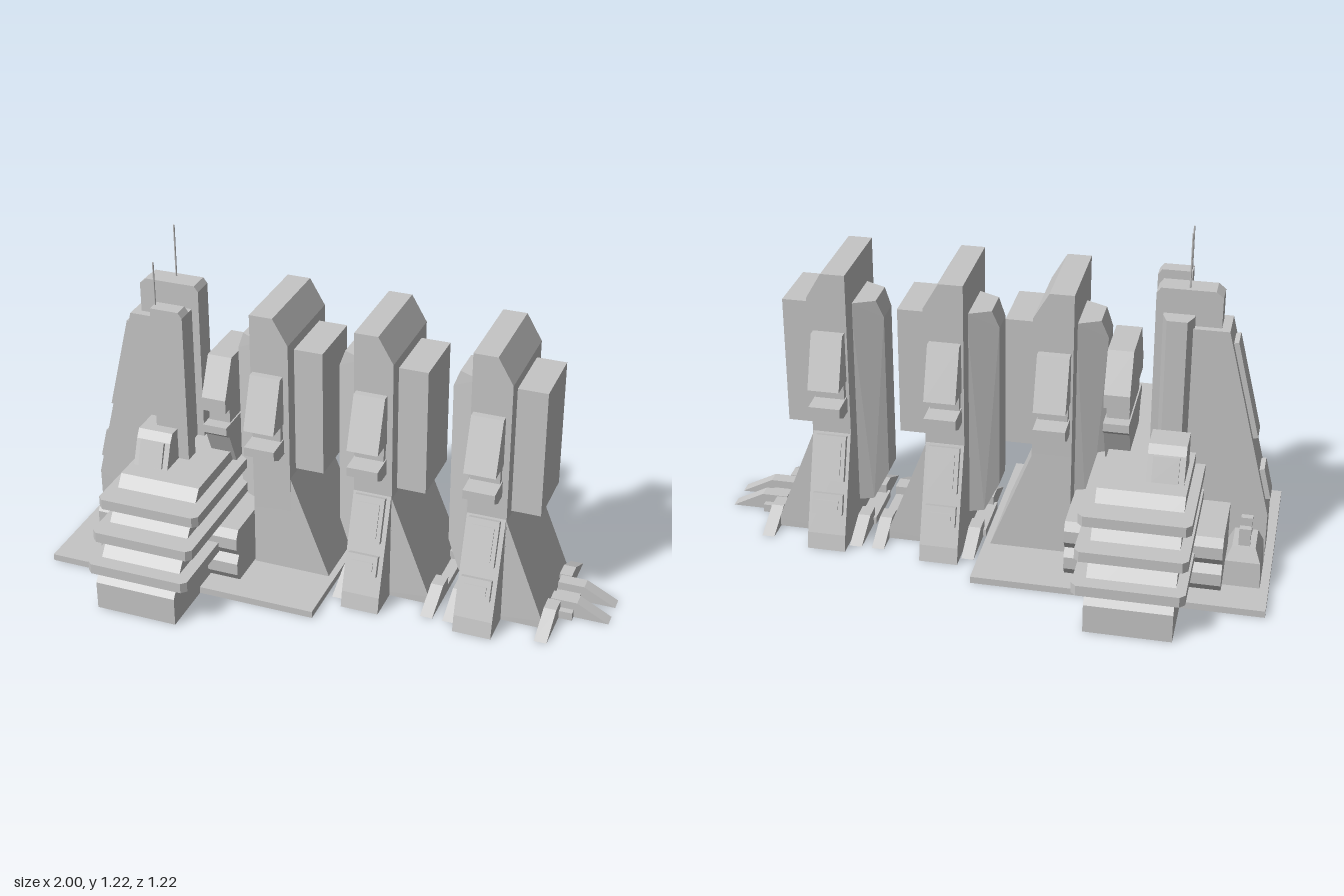
import * as THREE from 'three';
import { ConvexGeometry } from 'three/addons/geometries/ConvexGeometry.js';

const grey = new THREE.MeshStandardMaterial({ color: 0xc6c6c6 });
grey.name = 'concrete grey';

export function createModel() {
  const model = new THREE.Group();
  model.name = 'towerComplex';

  const add = (parent, name, geometry) => {
    const mesh = new THREE.Mesh(geometry, grey);
    mesh.name = name;
    parent.add(mesh);
    return mesh;
  };
  // Box from its limits on each axis
  const box = (parent, name, x0, x1, y0, y1, z0, z1) =>
    add(parent, name, new THREE.BoxGeometry(x1 - x0, y1 - y0, z1 - z0)
      .translate((x0 + x1) / 2, (y0 + y1) / 2, (z0 + z1) / 2));
  const shape = (pts) => new THREE.Shape(pts.map(([a, b]) => new THREE.Vector2(a, b)));
  const extrude = (pts, depth) =>
    new THREE.ExtrudeGeometry(shape(pts), { depth, bevelEnabled: false });
  // Side profile (x, y) extruded along z
  const alongZ = (parent, name, pts, z0, z1) =>
    add(parent, name, extrude(pts, z1 - z0).translate(0, 0, z0));
  // Cross profile (z, y) extruded along x
  const alongX = (parent, name, pts, x0, x1) =>
    add(parent, name, extrude(pts.map(([z, y]) => [-z, y]), x1 - x0)
      .rotateY(Math.PI / 2).translate(x0, 0, 0));
  const mirrored = (half) => [...half, ...half.map(([z, y]) => [-z, y]).reverse()];
  const flip = (pts, s) => pts.map(([z, y]) => [z * s, y]);
  const hull = (parent, name, pts) =>
    add(parent, name, new ConvexGeometry(pts.map((p) => new THREE.Vector3(...p))));

  // Ground slab
  box(model, 'groundSlab', -1, 0.02, 0, 0.025, -0.405, 0.405);

  // Terraced hall
  const hall = new THREE.Group();
  hall.name = 'terracedHall';
  model.add(hall);
  alongX(hall, 'hallBody', mirrored([[0.61, 0], [0.61, 0.105], [0.375, 0.42]]), -0.71, -0.41);
  for (const [y, z] of [[0.14, 0.61], [0.24, 0.56], [0.34, 0.5]]) {
    const c = 0.018, x0 = -0.745, x1 = -0.365;
    const outline = [[x0 + c, -z], [x1 - c, -z], [x1, -z + c], [x1, z - c],
      [x1 - c, z], [x0 + c, z], [x0, z - c], [x0, -z + c]];
    add(hall, 'terrace', extrude(outline, 0.038).rotateX(-Math.PI / 2).translate(0, y, 0));
  }
  // Roof cabins at both ends of the hall
  for (const s of [1, -1]) {
    alongX(hall, 'roofCabin', flip([[0.15, 0.42], [0.305, 0.42], [0.27, 0.51], [0.25, 0.54], [0.15, 0.54]], s), -0.695, -0.565);
    alongX(hall, 'cabinWindow', flip([[0.3, 0.425], [0.312, 0.425], [0.283, 0.51], [0.268, 0.51]], s), -0.675, -0.585);
  }
  // Two stacked octagonal galleries crossing the hall
  for (const y of [0.025, 0.13]) {
    alongX(model, 'gallery', mirrored([[0.29, y], [0.31, y], [0.33, y + 0.03], [0.33, y + 0.075], [0.31, y + 0.105]]),
      -0.84, -0.295);
  }

  // Leaning spire
  const spire = new THREE.Group();
  spire.name = 'spire';
  model.add(spire);
  alongZ(spire, 'spireButtress',
    [[-0.97, 0], [-0.97, 0.2], [-0.8, 0.89], [-0.6, 0.89], [-0.6, 0]], -0.07, 0.065);
  for (const [x0, y0, x1, y1] of [[-0.963, 0.25, -0.935, 0.365], [-0.905, 0.485, -0.818, 0.84]]) {
    alongZ(spire, 'buttressPanel',
      [[x0, y0], [x0 - 0.012, y0 + 0.003], [x1 - 0.012, y1 + 0.003], [x1, y1]].map(([x, y]) => [x, y])
        .concat([[x1 + 0.02, y1 - 0.01], [x0 + 0.02, y0 - 0.005]]), -0.045, 0.04);
  }
  alongZ(spire, 'spireCrown',
    [[-0.77, 0.4], [-0.77, 1], [-0.745, 1.02], [-0.56, 1.02], [-0.545, 1], [-0.545, 0.4]], -0.045, 0.035);
  const column = [[-0.66, -0.11], [-0.59, -0.11], [-0.572, -0.06], [-0.572, 0.06],
    [-0.59, 0.11], [-0.66, 0.11], [-0.68, 0.06], [-0.68, -0.06]];
  add(spire, 'spireColumn', extrude(column, 0.53).rotateX(-Math.PI / 2).translate(0, 0.4, 0));
  alongZ(spire, 'frontPillar',
    [[-0.645, 0.42], [-0.645, 1], [-0.54, 1], [-0.525, 0.98], [-0.525, 0.42]], 0.155, 0.21);
  for (const [x, z, y0, y1] of [[-0.64, 0.177, 0.99, 1.16], [-0.655, -0.025, 1.01, 1.215]]) {
    add(spire, 'antenna', new THREE.CylinderGeometry(0.003, 0.003, y1 - y0, 6)
      .translate(x, (y0 + y1) / 2, z));
  }

  // Plant house with two chimneys in the rear corner
  hull(model, 'plantHouse', [[0.025, 0], [0.12, 0.005], [0.17, 0.025]].flatMap(([y, d]) =>
    [[-0.97 + d, y, -0.27 + d], [-0.84 - d, y, -0.27 + d], [-0.84 - d, y, -0.1 - d], [-0.97 + d, y, -0.1 - d]]));
  for (const z of [-0.225, -0.15]) box(model, 'chimney', -0.925, -0.885, 0.15, 0.235, z - 0.012, z + 0.012);

  // Hanging pod between the spire and the first tower
  alongX(model, 'podUpper', mirrored([[0.165, 0.61], [0.165, 0.66], [0.1, 0.8]]), -0.485, -0.395);
  alongX(model, 'podNeck', mirrored([[0.12, 0.55], [0.12, 0.61]]), -0.48, -0.4);
  alongX(model, 'podLower', mirrored([[0.08, 0.36], [0.14, 0.5], [0.165, 0.52], [0.165, 0.55]]), -0.485, -0.395);

  // Three slab towers; the first stands straight, the others have flared ribs
  [-0.39, -0.01, 0.402].forEach((ox, i) => {
    const tower = new THREE.Group();
    tower.name = 'tower' + (i + 1);
    tower.position.x = ox;
    model.add(tower);
    const flared = i > 0;

    // Central slab with a chamfered crown
    alongZ(tower, 'towerSlab', [[0.1, 0], [0.1, 1.02], [0.185, 1.02], [0.24, 0.925], [0.24, 0]], -0.172, 0.175);
    // Sloping skirt
    hull(tower, 'skirt', [[0.1, 0.41, 0.172], [0.236, 0.41, 0.172], [0.385, 0.03, 0.18], [0.39, 0, 0.18], [0.1, 0, 0.18]]
      .flatMap(([x, y, z]) => [[x, y, z], [x, y, -z]]));
    // Tapered west wing
    const foot = flared ? 0.1 : 0;
    const wing = [[0, flared ? 0.2 : 0, 0.05], [0.05, foot, 0.08], [0.105, foot, 0.1],
      [0, 0.82, 0.05], [0.025, 0.885, 0.06], [0.105, 0.885, 0.1]];
    hull(tower, 'westWing', wing.flatMap(([x, y, z]) => [[x, y, z], [x, y, -z]]));
    // East wing block
    box(tower, 'eastWing', 0.23, 0.345, 0.415, 0.888, -0.118, 0.12);

    for (const s of [1, -1]) {
      // Overhanging bay with a balcony beneath
      alongX(tower, 'bay', flip([[0.15, 0.62], [0.268, 0.62], [0.2, 0.805], [0.15, 0.805]], s), 0.108, 0.22);
      alongX(tower, 'bayNeck', flip([[0.15, 0.55], [0.195, 0.55], [0.195, 0.62], [0.15, 0.62]], s), 0.112, 0.216);
      alongX(tower, 'balcony', flip([[0.15, 0.5], [0.225, 0.5], [0.268, 0.522], [0.268, 0.555], [0.15, 0.56]], s), 0.108, 0.22);
      if (!flared) continue;
      // Flared rib with two raised panels
      alongX(tower, 'rib', flip([[0.15, 0], [0.305, 0], [0.293, 0.06], [0.175, 0.41], [0.15, 0.41]], s), 0.1, 0.238);
      const ribZ = (y) => 0.175 + (0.41 - y) * 0.337;
      for (const [y0, y1] of [[0.25, 0.405], [0.135, 0.205]]) {
        alongX(tower, 'ribPanel', flip([[ribZ(y0) - 0.02, y0 - 0.007], [ribZ(y0) + 0.018, y0 + 0.003],
          [ribZ(y1) + 0.018, y1 + 0.003], [ribZ(y1) - 0.02, y1 - 0.007]], s), 0.112, 0.222);
        alongX(tower, 'panelInset', flip([[ribZ(y0 + 0.02), y0 + 0.02], [ribZ(y0 + 0.02) + 0.023, y0 + 0.022],
          [ribZ(y1 - 0.02) + 0.023, y1 - 0.018], [ribZ(y1 - 0.02), y1 - 0.02]], s), 0.127, 0.207);
      }
      // Splayed toes at the foot
      for (const x of [0.05, 0.38]) {
        alongX(tower, 'toe', flip([[0.08, 0], [0.26, 0], [0.14, 0.06], [0.08, 0.06]], s), x, x + 0.045);
      }
    }
    // Low plinth joining the toes
    if (flared) box(tower, 'plinth', 0.04, 0.425, 0, 0.028, -0.1, 0.1);
  });

  // End plinth and long toes
  box(model, 'endPlinth', 0.8, 0.875, 0, 0.03, -0.1, 0.1);
  for (const s of [1, -1]) {
    const z = s * 0.052;
    alongZ(model, 'longToe', [[0.79, 0], [1, 0], [0.885, 0.06], [0.79, 0.06]], z - 0.024, z + 0.024);
  }
  return model;
}
